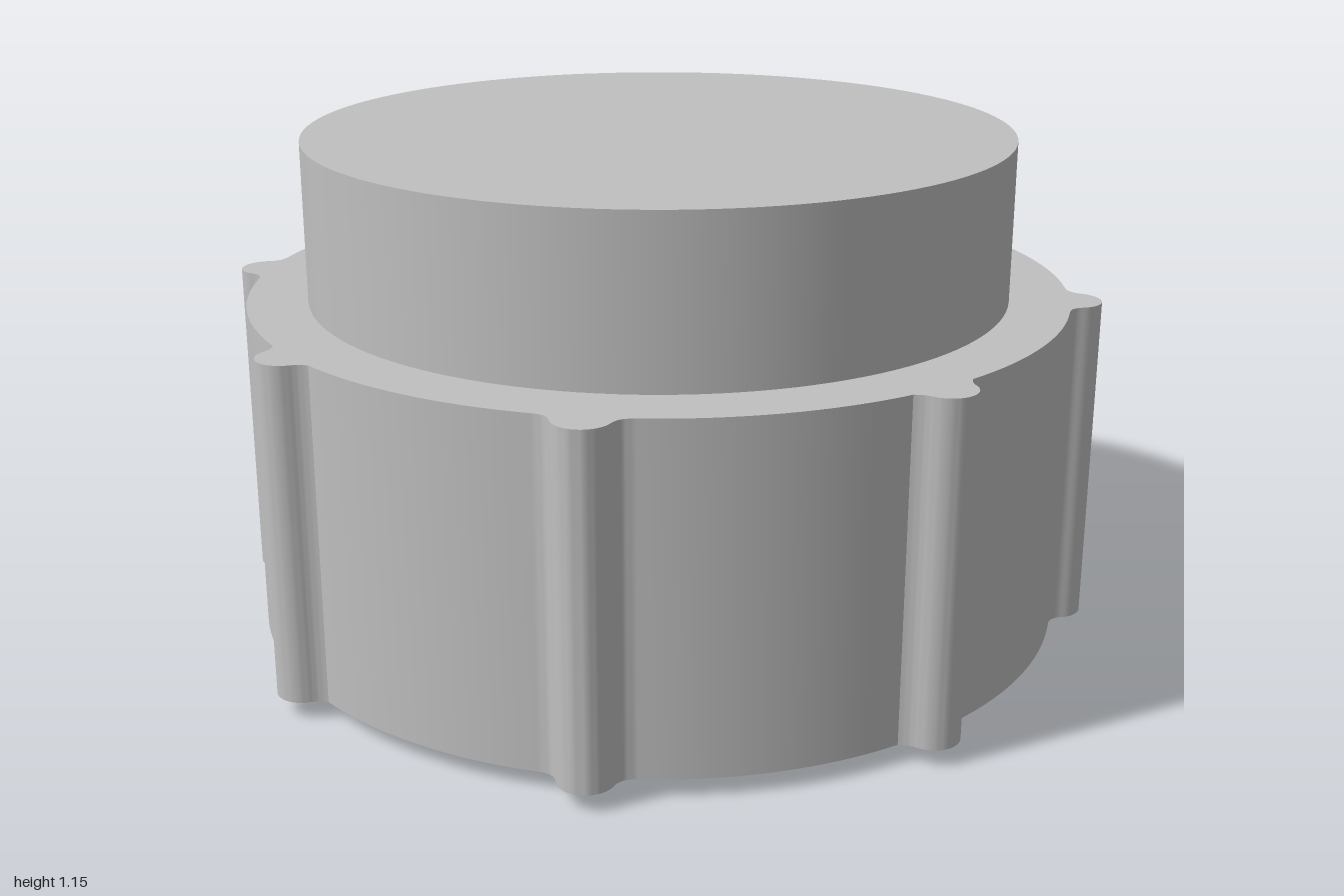
import * as THREE from 'three';
import { toCreasedNormals } from 'three/addons/utils/BufferGeometryUtils.js';

const BODY_R = 0.93, RIB_CENTRE = 0.94, RIB_R = 0.06, RIBS = 8;

// Half of a rib outline from tip to body: x = sideways offset, y = distance from the axis
function ribHalf(filleted) {
  const points = [];
  const sweep = THREE.MathUtils.degToRad(75);
  for (let i = 0; i <= 10; i++) {
    const a = sweep * i / 10;
    points.push(new THREE.Vector2(RIB_R * Math.sin(a), RIB_CENTRE + RIB_R * Math.cos(a)));
  }
  // Root: a full fillet on the axis ribs, a tighter one on the diagonals
  const endX = filleted ? 0.1 : 0.08;
  const end = new THREE.Vector2(endX, Math.sqrt(BODY_R ** 2 - endX ** 2));
  const control = filleted ? new THREE.Vector2(0.066, 0.927) : new THREE.Vector2(0.063, 0.94);
  const root = new THREE.QuadraticBezierCurve(points[10], control, end);
  return points.concat(root.getPoints(6).slice(1));
}

// Closed outline of the ribbed collar, counter-clockwise
function collarOutline() {
  const outline = [];
  const step = Math.PI * 2 / RIBS;
  for (let i = 0; i < RIBS; i++) {
    const angle = i * step;
    const half = ribHalf(i % 2 === 0);
    const nextHalf = ribHalf(i % 2 === 1);
    const mirrored = half.slice(1).reverse().map(p => new THREE.Vector2(-p.x, p.y));
    for (const p of [...mirrored, ...half]) {
      const a = angle + Math.atan2(p.x, p.y);
      outline.push(new THREE.Vector2(Math.cos(a), Math.sin(a)).multiplyScalar(p.length()));
    }
    // Plain arc to the next rib
    const from = half.at(-1), to = nextHalf.at(-1);
    const a0 = angle + Math.atan2(from.x, from.y);
    const a1 = angle + step - Math.atan2(to.x, to.y);
    for (let k = 1; k < 16; k++) {
      const a = THREE.MathUtils.lerp(a0, a1, k / 16);
      outline.push(new THREE.Vector2(BODY_R * Math.cos(a), BODY_R * Math.sin(a)));
    }
  }
  return outline;
}

export function createModel() {
  const group = new THREE.Group();
  group.name = 'ribbedCap';
  const grey = new THREE.MeshStandardMaterial({ color: 0xc0c0c0 });
  grey.name = 'light grey';

  const add = (name, geometry, y) => {
    const mesh = new THREE.Mesh(geometry, grey);
    mesh.name = name;
    mesh.position.y = y;
    group.add(mesh);
  };

  // Collar with eight grip ribs
  const collar = new THREE.ExtrudeGeometry(new THREE.Shape(collarOutline()), {
    depth: 0.75, bevelEnabled: false,
  });
  collar.rotateX(-Math.PI / 2);
  add('ribbedCollar', toCreasedNormals(collar, 0.5), 0.04);

  // Raised plug above and shallow boss below
  add('topPlug', new THREE.CylinderGeometry(0.795, 0.795, 0.36, 128), 0.97);
  add('bottomBoss', new THREE.CylinderGeometry(0.59, 0.59, 0.04, 128), 0.02);

  return group;
}
